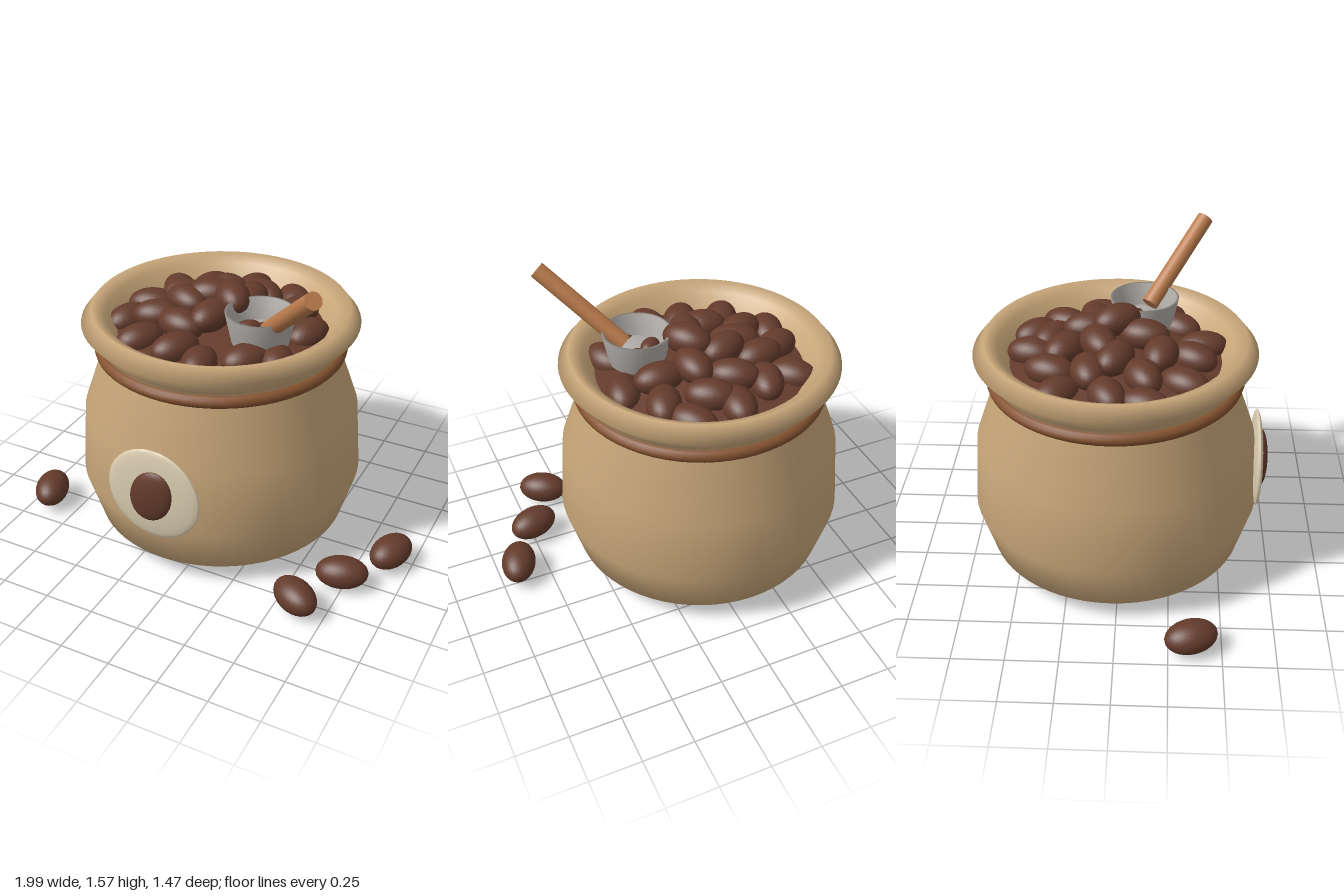
import * as THREE from 'three';

const mat = (name, color, side = THREE.FrontSide) => {
  const m = new THREE.MeshStandardMaterial({ color, side });
  m.name = name;
  return m;
};

export function createModel() {
  const group = new THREE.Group();
  const burlap = mat('burlap', 0xc8a679, THREE.DoubleSide);
  const rope = mat('rope', 0x84522f);
  const roast = mat('roastedBean', 0x643b2c);
  const cream = mat('creamPatch', 0xdccfb2);
  const metal = mat('metal', 0xb2aeaa, THREE.DoubleSide);
  const wood = mat('wood', 0xba7b4c);
  const CX = -0.075, CZ = -0.025; // sack axis

  const add = (name, geometry, material, x, y, z) => {
    const mesh = new THREE.Mesh(geometry, material);
    mesh.name = name;
    mesh.position.set(x, y, z);
    group.add(mesh);
    return mesh;
  };
  const lathe = (pts, segments = 64) =>
    new THREE.LatheGeometry(pts.map(([r, y]) => new THREE.Vector2(r, y)), segments);

  // Sack: open at the bottom, with a flared rolled rim
  add('sack', lathe([
    [0.465, 0], [0.64, 0.105], [0.71, 0.34], [0.685, 0.68], [0.58, 0.98], [0.595, 1.05],
    [0.677, 1.14], [0.625, 1.205], [0.56, 1.17], [0.505, 1.08],
  ]), burlap, CX, 0, CZ);

  // Rope tied around the neck
  add('rope', new THREE.TorusGeometry(0.59, 0.031, 12, 64), rope, CX, 1.005, CZ).rotation.x = Math.PI / 2;

  // Mound under the loose beans
  add('beanMound', lathe([[0.51, 1.08], [0.35, 1.11], [0.18, 1.15], [0.001, 1.18]]), roast, CX, 0, CZ);

  // Beans: ellipsoids lying along a heading in degrees
  const sphere = new THREE.SphereGeometry(1, 24, 16);
  const bean = (name, x, y, z, heading, size = 1) => {
    const b = add(name, sphere, roast, x, y, z);
    b.scale.set(0.128, 0.077, 0.086).multiplyScalar(size);
    b.rotation.y = THREE.MathUtils.degToRad(heading);
  };

  // Heaped beans: x, z, heading
  [
    [-0.44, -0.28, -45], [-0.28, -0.32, 72], [-0.09, -0.42, 79], [0.14, -0.42, -53],
    [0.22, -0.28, 66], [0.01, -0.33, -32], [-0.14, -0.26, -32], [-0.33, -0.14, 9],
    [-0.47, -0.05, 24], [-0.26, -0.02, -24], [-0.16, -0.10, 24], [0.02, -0.155, -84],
    [0.18, -0.13, 0], [0.35, -0.10, 72], [-0.51, 0.12, 72], [-0.35, 0.11, 24],
    [-0.18, 0.19, -11], [-0.06, 0.11, 79], [-0.34, 0.30, 60], [-0.13, 0.34, 60],
    [0.02, 0.39, -79], [0.20, 0.27, 58], [0.32, 0.20, -66],
  ].forEach(([x, z, a]) => bean('heapBean', x, 1.25 - 0.35 * Math.hypot(x - CX, z - CZ), z, a, 0.97));
  bean('topBean', -0.01, 1.255, -0.02, -53, 0.97);

  // Beans scattered on the ground
  [[-0.905, 0.355, -70], [0.90, 0.055, 70], [0.74, 0.31, 18], [0.605, 0.565, -30]]
    .forEach(([x, z, a]) => bean('looseBean', x, 0.09, z, a));

  // Round patch with a bean emblem on the front
  add('patch', sphere, cream, CX, 0.53, 0.678).scale.set(0.241, 0.241, 0.028);
  const emblem = add('patchBean', sphere, roast, CX, 0.53, 0.70);
  emblem.scale.set(0.107, 0.143, 0.035);
  emblem.rotation.z = -0.36;

  // Scoop: tapered cup, two beans inside and a slanted handle
  add('scoopCup', lathe([[0.001, 1.17], [0.135, 1.17], [0.135, 1.12], [0.168, 1.277], [0.155, 1.277], [0.13, 1.17]], 40),
    metal, 0.195, 0, 0.105);
  bean('scoopBean', 0.13, 1.175, 0.10, 45, 0.5);
  bean('scoopBean', 0.205, 1.17, 0.065, -20, 0.4);

  const from = new THREE.Vector3(0.25, 1.21, 0.13), to = new THREE.Vector3(0.57, 1.54, 0.40);
  const dir = to.clone().sub(from);
  const mid = from.clone().add(to).multiplyScalar(0.5);
  const handle = add('scoopHandle', new THREE.CylinderGeometry(0.041, 0.041, dir.length(), 24), wood, mid.x, mid.y, mid.z);
  handle.quaternion.setFromUnitVectors(new THREE.Vector3(0, 1, 0), dir.normalize());

  return group;
}
